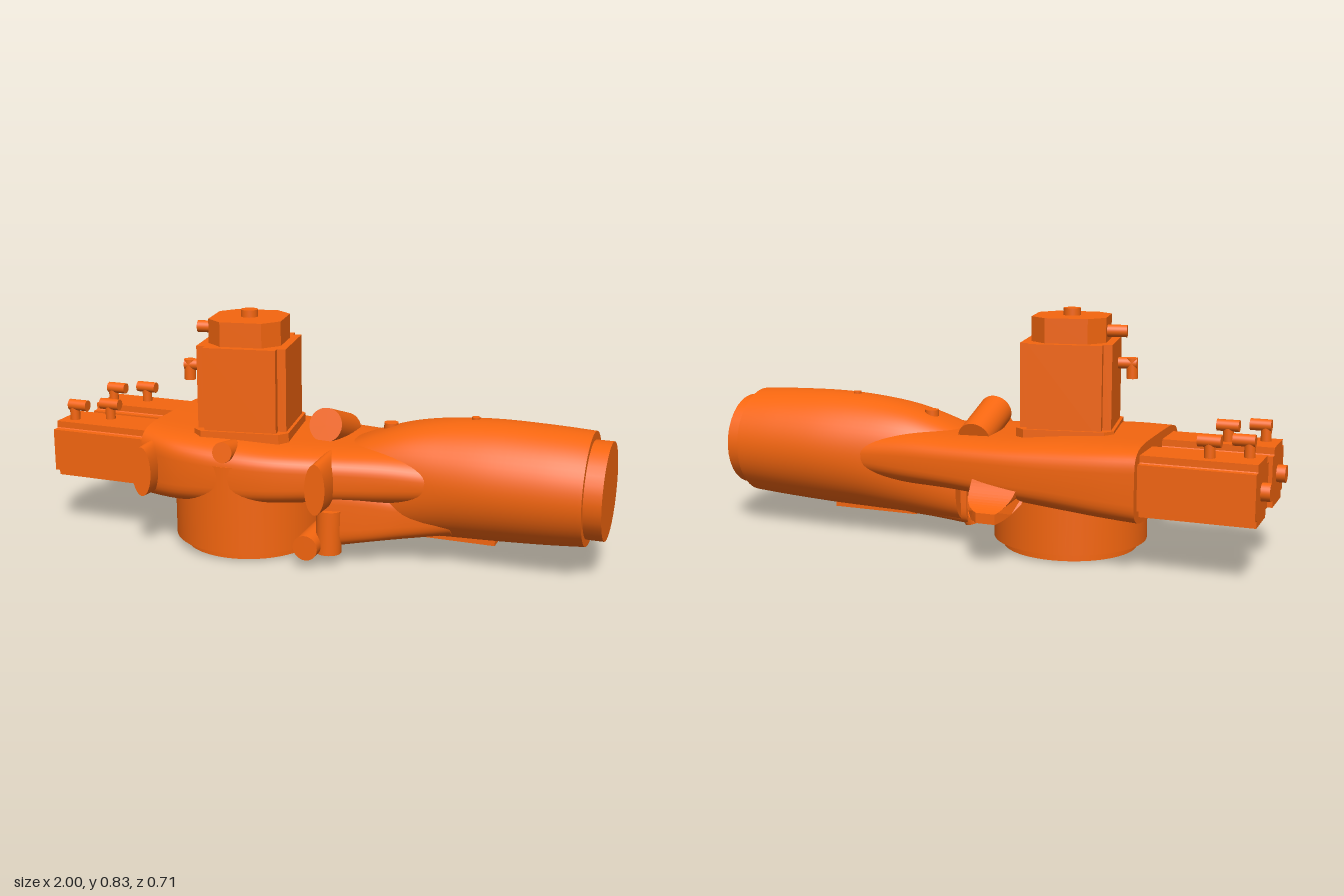
import * as THREE from 'three';

const mat = new THREE.MeshStandardMaterial({ color: 0xf5660f });

// Hull along x from sections [x, yMin, yMax, zMin, zMax, squareness]
function loft(sections, steps = 40, sides = 64) {
  const at = (t, k) => {
    const f = t * (sections.length - 1);
    const i = Math.min(Math.floor(f), sections.length - 2), u = f - i;
    const p = (j) => sections[Math.max(0, Math.min(sections.length - 1, j))][k];
    const a = p(i - 1), b = p(i), c = p(i + 1), d = p(i + 2);
    return b + 0.5 * u * (c - a + u * (2 * a - 5 * b + 4 * c - d + u * (3 * (b - c) + d - a)));
  };
  const pos = [], idx = [];
  const ring = (t) => {
    const [x, y0, y1, z0, z1, n] = [0, 1, 2, 3, 4, 5].map((k) => at(t, k));
    for (let j = 0; j < sides; j++) {
      const a = (j / sides) * Math.PI * 2, c = Math.cos(a), s = Math.sin(a);
      const pw = (v) => Math.sign(v) * Math.pow(Math.abs(v), 2 / n);
      pos.push(x, (y0 + y1) / 2 + (y1 - y0) / 2 * pw(s), (z0 + z1) / 2 + (z1 - z0) / 2 * pw(c));
    }
    return [x, (y0 + y1) / 2, (z0 + z1) / 2];
  };
  for (let i = 0; i <= steps; i++) ring(i / steps);
  for (let i = 0; i < steps; i++) {
    for (let j = 0; j < sides; j++) {
      const k = (j + 1) % sides;
      const a = i * sides + j, b = a + sides, c = i * sides + k, d = c + sides;
      idx.push(a, b, c, b, d, c);
    }
  }
  // flat end caps with their own vertices
  for (const end of [0, 1]) {
    const base = pos.length / 3, centre = ring(end);
    pos.push(...centre);
    for (let j = 0; j < sides; j++) {
      const a = base + j, b = base + (j + 1) % sides;
      idx.push(base + sides, end ? b : a, end ? a : b);
    }
  }
  const g = new THREE.BufferGeometry();
  g.setAttribute('position', new THREE.Float32BufferAttribute(pos, 3));
  g.setIndex(idx);
  g.computeVertexNormals();
  return g;
}

// Square outline with stepped or chamfered corners
function squareShape(h, c, stepped) {
  const pts = [];
  for (let i = 0; i < 4; i++) {
    const corner = stepped ? [[h, h - c], [h - c, h - c], [h - c, h]] : [[h, h - c], [h - c, h]];
    const o = new THREE.Vector2();
    for (const [x, y] of corner) pts.push(new THREE.Vector2(x, y).rotateAround(o, i * Math.PI / 2));
  }
  return new THREE.Shape(pts);
}
const prism = (shape, depth) => new THREE.ExtrudeGeometry(shape, { depth, bevelEnabled: false });

export function createModel() {
  const root = new THREE.Group();
  const add = (name, geo, x = 0, y = 0, z = 0, parent = root) => {
    const m = new THREE.Mesh(geo, mat);
    m.name = name;
    m.position.set(x, y, z);
    parent.add(m);
    return m;
  };
  // Cylinder between two points
  const rod = (name, a, b, r, parent = root, r2 = r) => {
    const p = new THREE.Vector3(...a), q = new THREE.Vector3(...b);
    const d = q.clone().sub(p);
    const m = add(name, new THREE.CylinderGeometry(r2, r, d.length(), 32), 0, 0, 0, parent);
    m.position.copy(p).add(q).multiplyScalar(0.5);
    m.quaternion.setFromUnitVectors(new THREE.Vector3(0, 1, 0), d.normalize());
    return m;
  };

  // Main housing, tapering into the forearm
  add('housing', loft([
    [-0.59, 0.165, 0.43, -0.29, 0.27, 5],
    [-0.45, 0.17, 0.425, -0.287, 0.318, 4.5],
    [-0.28, 0.18, 0.418, -0.277, 0.33, 4],
    [-0.1, 0.195, 0.405, -0.262, 0.312, 4],
    [0.1, 0.205, 0.4, -0.24, 0.258, 3.5],
    [0.28, 0.205, 0.4, -0.218, 0.213, 3],
    [0.45, 0.21, 0.39, -0.195, 0.175, 2.5],
  ]));

  // Forearm with its lower shell
  add('forearm', loft([
    [0.1, 0.07, 0.39, -0.13, 0.15, 3],
    [0.2, 0.075, 0.43, -0.155, 0.165, 2.7],
    [0.32, 0.08, 0.468, -0.18, 0.175, 2.4],
    [0.46, 0.082, 0.492, -0.2, 0.185, 2.1],
    [0.62, 0.086, 0.502, -0.212, 0.192, 2],
    [0.8, 0.095, 0.499, -0.212, 0.19, 2],
    [0.94, 0.105, 0.492, -0.208, 0.182, 2],
  ]));
  add('lowerShell', loft([
    [0.08, 0.05, 0.3, -0.08, 0.25, 5],
    [0.2, 0.07, 0.28, -0.1, 0.215, 5],
    [0.32, 0.082, 0.26, -0.11, 0.17, 4],
    [0.5, 0.11, 0.25, -0.1, 0.14, 3],
  ]));
  rod('wristFlange', [0.92, 0.297, -0.012], [1, 0.297, -0.012], 0.167);
  add('undersidePad', new THREE.BoxGeometry(0.33, 0.03, 0.06), 0.465, 0.083, -0.002);
  rod('armStud', [0.24, 0.42, -0.015], [0.24, 0.458, -0.015], 0.025);
  rod('armStud', [0.54, 0.47, -0.015], [0.54, 0.506, -0.015], 0.014);

  // Round joint below the housing
  rod('jointDrum', [-0.262, 0.03, 0.06], [-0.262, 0.34, 0.06], 0.27).geometry =
    new THREE.CylinderGeometry(0.27, 0.27, 0.31, 72);
  rod('jointBase', [-0.262, 0, 0.06], [-0.262, 0.04, 0.06], 0.236).geometry =
    new THREE.CylinderGeometry(0.236, 0.236, 0.04, 72);

  // Upright motor, turned slightly about its axis
  const tower = new THREE.Group();
  tower.name = 'uprightMotor';
  tower.position.set(-0.26, 0, 0.058);
  tower.rotation.y = 0.17;
  root.add(tower);
  const layers = [
    ['towerFlange', 0.168, 0.03, false, 0.39, 0.435],
    ['towerBody', 0.157, 0.03, true, 0.4, 0.725],
    ['towerCap', 0.128, 0.055, false, 0.725, 0.81],
  ];
  for (const [name, h, c, stepped, y0, y1] of layers) {
    add(name, prism(squareShape(h, c, stepped), y1 - y0), 0, y0, 0, tower).rotation.x = -Math.PI / 2;
  }
  rod('towerShaft', [0, 0.8, 0], [0, 0.835, 0], 0.03, tower);
  rod('towerPlug', [-0.12, 0.762, -0.03], [-0.195, 0.762, -0.03], 0.021, tower);
  rod('towerPlug', [-0.15, 0.642, 0.05], [-0.222, 0.642, 0.05], 0.02, tower);
  rod('towerPlugElbow', [-0.205, 0.66, 0.05], [-0.205, 0.588, 0.05], 0.02, tower);

  // Pair of motors at the rear end
  for (const z of [-0.153, 0.128]) {
    const motor = new THREE.Group();
    motor.name = 'endMotor';
    motor.position.set(0, 0.298, z);
    root.add(motor);
    add('motorBody', prism(squareShape(0.102, 0.026, true), 0.4), -0.97, 0, 0, motor).rotation.y = Math.PI / 2;
    add('motorCore', prism(squareShape(0.09, 0.025, false), 0.4), -0.97, 0, 0, motor).rotation.y = Math.PI / 2;
    rod('motorShaft', [-1, 0, 0], [-0.96, 0, 0], 0.03, motor);
    for (const [x0, x1, px, pz] of [[-0.94, -0.868, -0.922, 0.028], [-0.842, -0.766, -0.805, -0.025]]) {
      rod('motorPlugPost', [px, 0.08, pz], [px, 0.155, pz], 0.018, motor);
      rod('motorPlug', [x0, 0.156, pz], [x1, 0.156, pz], 0.02, motor);
    }
  }

  // Oval bosses on the front side
  for (const [x, z1] of [[-0.545, 0.355], [0.087, 0.33]]) {
    const boss = add('ovalBoss', new THREE.CylinderGeometry(0.036, 0.04, 0.2, 40), x, 0.298, z1 - 0.1);
    boss.rotation.x = Math.PI / 2;
    boss.scale.z = 2.45;
  }
  rod('smallCableBoss', [-0.25, 0.37, 0.2], [-0.25, 0.39, 0.325], 0.036);

  // Slanted cable outlet on top
  rod('topCableOutlet', [0.032, 0.385, -0.12], [0.032, 0.452, 0.08], 0.06);

  // Lower outlets beside the joint
  rod('lowerOutlet', [0.04, 0.08, 0.12], [0.04, 0.077, 0.3], 0.044);
  rod('lowerOutlet', [0.1, 0.16, -0.03], [0.07, 0.06, -0.03], 0.05, root, 0.032);
  rod('lowerBracket', [0.1, 0.2, 0.22], [0.095, 0.045, 0.22], 0.045);

  // Curved scoop on the back, narrowing towards its tip
  const scoop = new THREE.Shape();
  scoop.moveTo(0.2, 0.33);
  scoop.lineTo(0.245, 0.3);
  scoop.quadraticCurveTo(0.27, 0.21, 0.355, 0.19);
  scoop.lineTo(0.355, 0.155);
  scoop.quadraticCurveTo(0.27, 0.165, 0.2, 0.24);
  const hook = new THREE.ExtrudeGeometry(scoop, { depth: 0.17, bevelEnabled: false, curveSegments: 14 });
  hook.rotateY(Math.PI / 2);
  const p = hook.attributes.position;
  for (let i = 0; i < p.count; i++) {
    const t = Math.max(0, (-p.getZ(i) - 0.24) / 0.115);
    p.setX(i, -0.19 + 0.05 * t + p.getX(i) * (1 - 0.6 * t * t));
  }
  hook.computeVertexNormals();
  add('backScoop', hook);

  return root;
}
